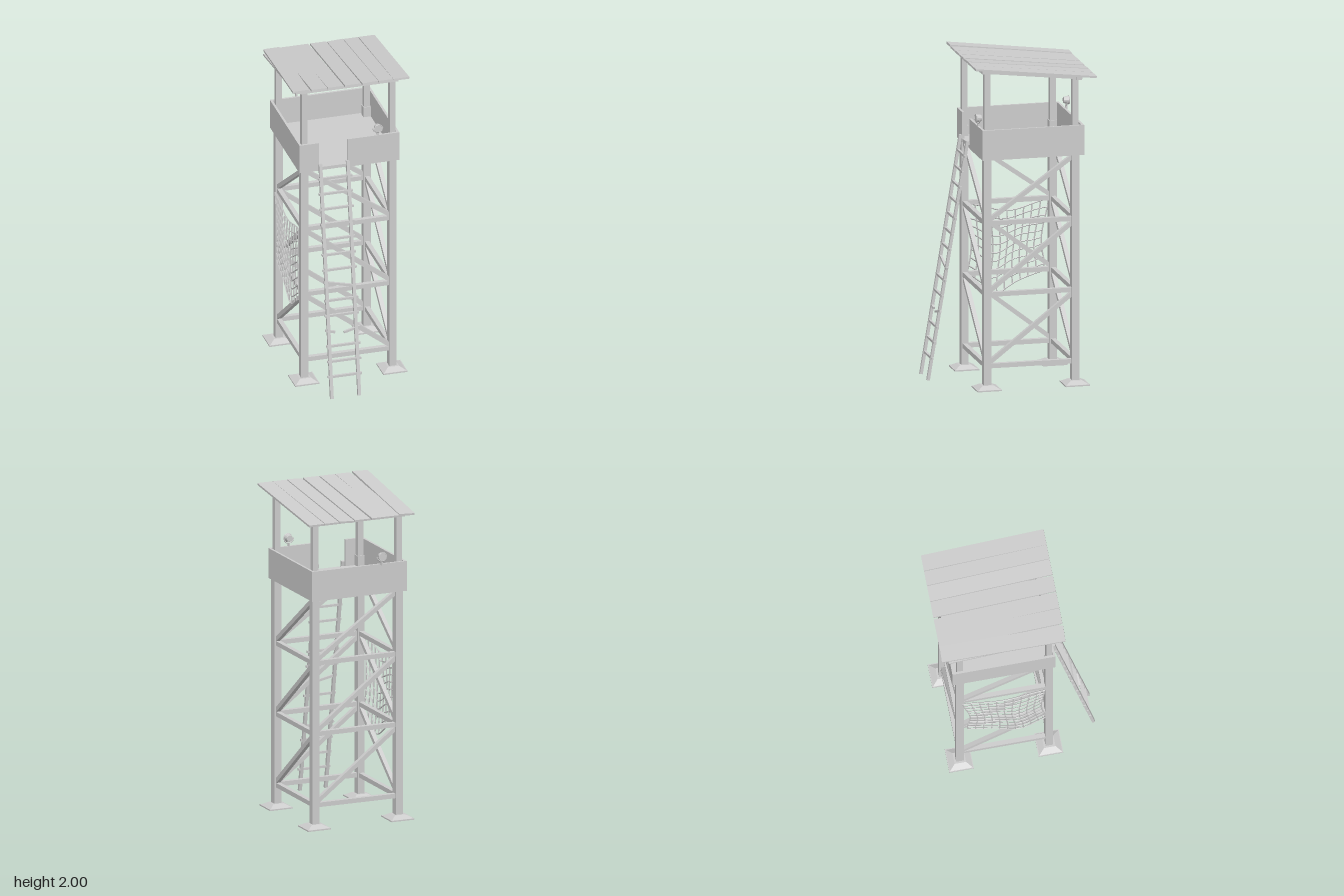
import * as THREE from 'three';

const mat = new THREE.MeshStandardMaterial({ color: 0xcccccc, flatShading: true });
const LX = 0.275, ZF = 0.18, ZB = -0.365, ZC = (ZF + ZB) / 2;
const V = (x, y, z) => new THREE.Vector3(x, y, z);

export function createModel() {
  const root = new THREE.Group();
  const add = (name, geo, parent = root, pos = [0, 0, 0]) => {
    const m = new THREE.Mesh(geo, mat);
    m.name = name;
    m.position.set(...pos);
    parent.add(m);
    return m;
  };
  const group = (name) => {
    const g = new THREE.Group();
    g.name = name;
    root.add(g);
    return g;
  };
  // box given by its min/max on each axis
  const slab = (name, x0, x1, y0, y1, z0, z1, parent) =>
    add(name, new THREE.BoxGeometry(x1 - x0, y1 - y0, z1 - z0), parent,
      [(x0 + x1) / 2, (y0 + y1) / 2, (z0 + z1) / 2]);
  // straight timber running from a to b
  const beam = (name, a, b, w, h, parent) => {
    const m = add(name, new THREE.BoxGeometry(w, h, a.distanceTo(b)), parent);
    m.position.copy(a).add(b).multiplyScalar(0.5);
    m.lookAt(b);
    return m;
  };

  // legs, upper posts and footings
  for (const x of [-LX, LX]) for (const z of [ZF, ZB]) {
    slab('leg', x - 0.023, x + 0.023, 0.01, 1.5, z - 0.023, z + 0.023);
    slab('roofPost', x - 0.018, x + 0.018, 1.45, z > 0 ? 1.963 : 1.895, z - 0.018, z + 0.018);
    slab('footPlate', x - 0.075, x + 0.075, 0, 0.008, z - 0.075, z + 0.075);
    const foot = add('footing', new THREE.CylinderGeometry(0.035 * Math.SQRT2, 0.07 * Math.SQRT2, 0.02, 4), root, [x, 0.018, z]);
    foot.rotation.y = Math.PI / 4;
  }

  // horizontal and diagonal bracing, three tiers
  const braces = group('bracing');
  const levels = [0.143, 0.583, 1.021, 1.425];
  const ix = LX - 0.015, zf = ZF - 0.015, zb = ZB + 0.015;
  for (let i = 0; i < 3; i++) {
    const y = levels[i], lo = y + 0.02, hi = levels[i + 1] - 0.02;
    for (const z of [ZF, ZB]) {
      beam('crossRail', V(-LX, y, z), V(LX, y, z), 0.028, 0.028, braces);
      beam('diagonalBrace', V(-ix, hi, z), V(ix, lo, z), 0.026, 0.026, braces);
    }
    for (const s of [-1, 1]) {
      beam('sideRail', V(s * LX, y, ZF), V(s * LX, y, ZB), 0.028, 0.028, braces);
      beam('sideBrace', V(s * LX, hi, s > 0 ? zb : zf), V(s * LX, lo, s > 0 ? zf : zb), 0.026, 0.026, braces);
    }
  }

  // platform and parapet with a ladder opening
  const cab = group('platform');
  slab('floor', -0.31, 0.31, 1.415, 1.435, -0.41, 0.21, cab);
  const y0 = 1.415, y1 = 1.6, t = 0.014;
  slab('backWall', -0.31, 0.312, y0, y1, -0.414, -0.414 + t, cab);
  slab('frontWallRight', -0.31, -0.19, y0, y1, 0.214 - t, 0.214, cab);
  slab('frontWallLeft', -0.012, 0.312, y0, y1, 0.214 - t, 0.214, cab);
  for (const s of [-1, 1]) {
    const w = s * 0.305;
    slab('sideWall', w - t / 2, w + t / 2, y0, y1, -0.414, 0.214, cab);
  }

  // sloping plank roof on a frame, built flat then tilted
  const roof = group('roof');
  roof.position.set(0, 1.945, -0.105);
  roof.rotation.x = -0.115;
  // centre x, width, yaw, roll
  const planks = [
    [-0.2, 0.098, -0.008, 0], [-0.102, 0.1, 0.004, 0], [0.008, 0.1, -0.003, 0],
    [0.114, 0.098, 0.003, 0.05], [0.212, 0.09, 0.002, 0], [0.31, 0.1, -0.003, 0],
  ];
  for (const [x, w, yaw, roll] of planks) {
    const p = add('roofPlank', new THREE.BoxGeometry(w, 0.012, 0.752), roof, [x, 0, 0]);
    p.rotation.set(0, yaw, roll);
  }
  const loose = add('loosePlank', new THREE.BoxGeometry(0.1, 0.012, 0.752), roof, [-0.3, 0.004, 0]);
  loose.rotation.set(0, -0.046, 0.03);
  slab('underPlank', -0.345, -0.252, -0.017, -0.006, -0.34, 0.355, roof);
  for (const s of [-1, 1]) slab('roofSideBeam', s * LX - 0.016, s * LX + 0.016, -0.034, -0.006, -0.3, 0.31, roof);
  for (const z of [-0.285, 0.3]) slab('roofCrossBeam', -0.305, 0.305, -0.036, -0.006, z - 0.018, z + 0.018, roof);

  // spotlights clamped on the parapet
  for (const [x, z, s] of [[0.18, 0.207, 1], [-0.145, -0.418, -1]]) {
    const lamp = group('spotlight');
    lamp.position.set(x, 1.648, z);
    const body = add('lampHousing', new THREE.CylinderGeometry(0.026, 0.019, 0.034, 14), lamp);
    body.rotation.x = s * Math.PI / 2;
    const rim = add('lampRim', new THREE.TorusGeometry(0.024, 0.004, 6, 16), lamp, [0, 0, s * 0.015]);
    rim.scale.z = 0.8;
    const yoke = add('lampYoke', new THREE.TorusGeometry(0.031, 0.0035, 5, 14, Math.PI), lamp);
    yoke.rotation.z = Math.PI;
    slab('lampStem', -0.006, 0.006, -0.055, -0.029, -0.006, 0.006, lamp);
  }

  // leaning ladder with one skewed and one snapped rung
  const ladder = group('ladder');
  const railZ = (y) => 0.47 - (y / 1.465) * 0.245;
  for (const x of [-0.185, -0.014])
    beam('ladderRail', V(x, 0.004, railZ(0.004)), V(x, 1.463, railZ(1.463)), 0.02, 0.018, ladder);
  for (let i = 0; i < 14; i++) {
    const y = 0.14 + i * 0.0947;
    const rung = (xa, ya, xb, yb, dz = 0) =>
      beam('rung', V(xa, ya, railZ(ya)), V(xb, yb, railZ(yb) + dz), 0.014, 0.014, ladder);
    if (i === 3) {
      rung(-0.205, y + 0.006, -0.145, y - 0.01);
      rung(-0.09, y - 0.018, 0.012, y + 0.006);
    } else if (i === 6) rung(-0.2, y + 0.022, 0.0, y - 0.024);
    else rung(-0.203, y, 0.008, y);
  }

  // sagging rope net hung on the right side
  const net = group('ropeNet');
  const point = (u, v) => {
    const hang = Math.sin(Math.PI * u);
    const top = 1.005 - 0.045 * hang;
    const bottom = 0.56 - 0.125 * Math.exp(-(((u - 0.33) / 0.25) ** 2)) - 0.03 * u * hang;
    const y = top + (bottom - top) * v + 0.008 * Math.sin(9 * u + 5 * v);
    const pinch = 0.02 * Math.sin(Math.PI * Math.min(1, v * 1.2));
    const z = 0.152 - pinch * (1 - u) - u * (0.497 - 0.035 * v - pinch) + 0.006 * Math.sin(7 * v + 4 * u);
    const x = -0.297 - 0.011 * Math.sin(Math.PI * v * 0.8) * hang;
    return V(x, y, z);
  };
  const strand = (fn) => {
    const pts = Array.from({ length: 13 }, (_, k) => fn(k / 12));
    add('rope', new THREE.TubeGeometry(new THREE.CatmullRomCurve3(pts), 26, 0.0045, 4), net);
  };
  for (let i = 0; i <= 10; i++) {
    strand((k) => point(i / 10, k));
    strand((k) => point(k, i / 10));
  }

  return root;
}
